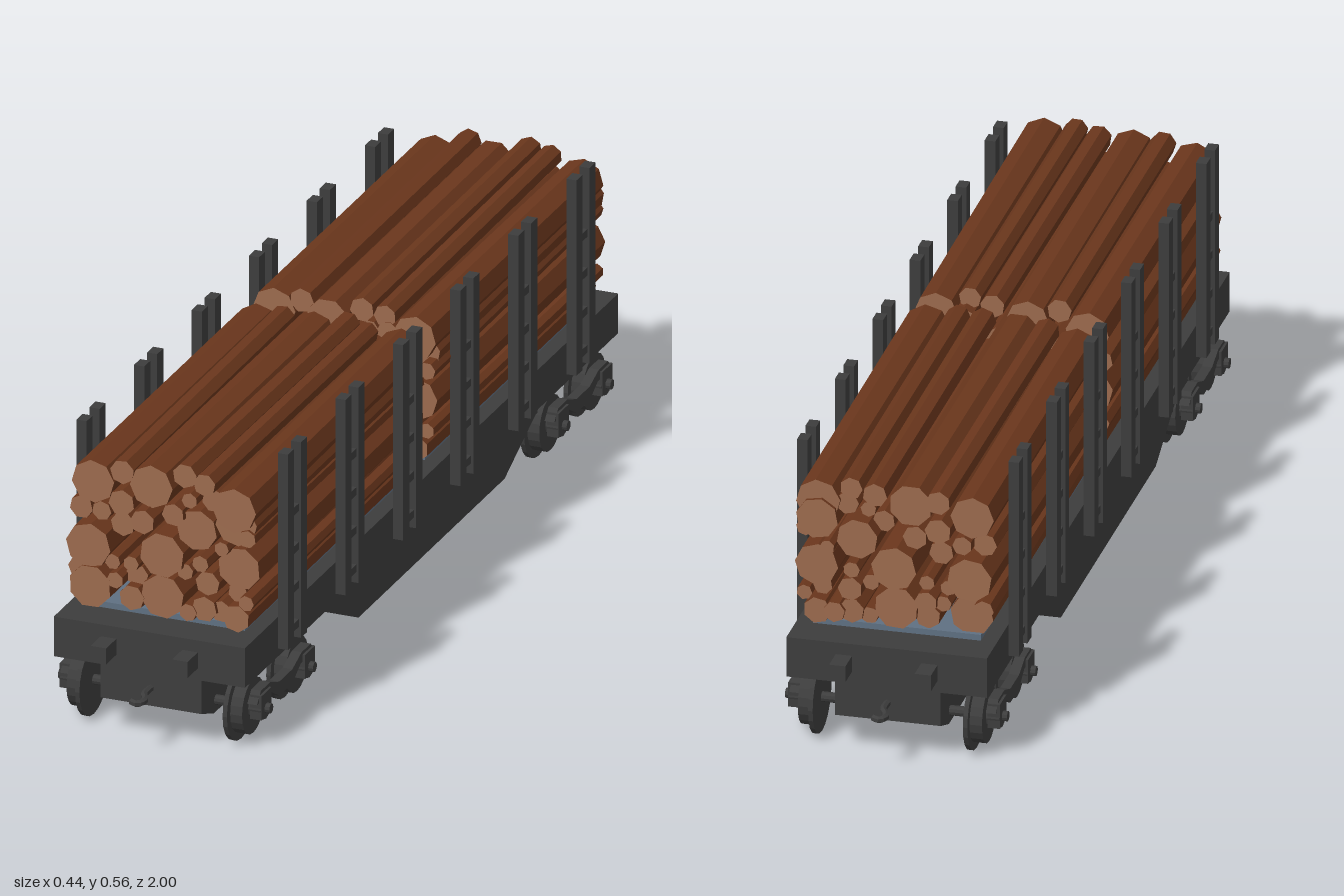
import * as THREE from 'three';

const mat = (name, color, flat = true) => {
  const m = new THREE.MeshStandardMaterial({ color, flatShading: flat });
  m.name = name;
  return m;
};

export function createModel() {
  const iron = mat('dark iron', 0x3d3d3d);
  const bark = mat('bark', 0x6a361c);
  const cut = mat('cut wood', 0x9c6b4e);
  const floor = mat('blue grey floor', 0x5f7082);
  const car = new THREE.Group();
  car.name = 'logWagon';

  let seed = 7;
  const rand = () => (seed = (seed * 16807) % 2147483647) / 2147483647;

  const add = (parent, name, geo, material, x = 0, y = 0, z = 0) => {
    const m = new THREE.Mesh(geo, material);
    m.name = name;
    m.position.set(x, y, z);
    parent.add(m);
    return m;
  };
  const box = (parent, name, w, h, d, x, y, z, material = iron) =>
    add(parent, name, new THREE.BoxGeometry(w, h, d), material, x, y, z);
  // Outline in (z, y), extruded across x and centred on it
  const side = (points, width) => {
    const shape = new THREE.Shape(points.map(p => new THREE.Vector2(...p)));
    const g = new THREE.ExtrudeGeometry(shape, { depth: width, bevelEnabled: false });
    return g.translate(0, 0, -width / 2).rotateY(-Math.PI / 2);
  };
  // Cylinder lying along x
  const disc = (parent, name, r, w, x, y, z, n = 16) =>
    add(parent, name, new THREE.CylinderGeometry(r, r, w, n).rotateZ(Math.PI / 2), iron, x, y, z);

  // Deck with deep-bellied side sills
  box(car, 'deck', 0.394, 0.082, 1.84, 0, 0.184, 0);
  const belly = [[-0.53, 0.145], [-0.36, 0.065], [0.36, 0.065], [0.53, 0.145]];
  for (const s of [-1, 1]) add(car, 'sideSill', side(belly, 0.03), iron, s * 0.182, 0, 0);

  // Paired stakes joined by short rungs
  for (const s of [-1, 1]) {
    for (const z of [-0.711, -0.424, -0.139, 0.143, 0.427, 0.711]) {
      const stake = new THREE.Group();
      stake.name = 'stakePair';
      stake.position.set(s * 0.2075, 0, z);
      for (const d of [-1, 1]) box(stake, 'stake', 0.021, 0.405, 0.03, 0, 0.3625, d * 0.032);
      for (const y of [0.19, 0.27, 0.35, 0.43]) box(stake, 'rung', 0.012, 0.016, 0.036, 0, y, 0);
      car.add(stake);
    }
  }

  // Log ends: x, y, radius
  const logs = [
    [-0.149, 0.482, 0.044], [-0.028, 0.491, 0.044], [0.153, 0.484, 0.045], [-0.088, 0.514, 0.025],
    [0.037, 0.518, 0.025], [0.088, 0.518, 0.023], [0.097, 0.482, 0.024], [0.154, 0.448, 0.043],
    [0.071, 0.423, 0.042], [-0.087, 0.45, 0.027], [-0.174, 0.425, 0.024], [-0.131, 0.423, 0.02],
    [-0.087, 0.402, 0.025], [-0.037, 0.427, 0.025], [0.027, 0.452, 0.023], [0.053, 0.479, 0.016],
    [-0.151, 0.359, 0.046], [0, 0.363, 0.046], [0.153, 0.354, 0.044], [0.18, 0.425, 0.018],
    [0.128, 0.4, 0.015], [-0.103, 0.33, 0.016], [-0.06, 0.335, 0.016], [-0.06, 0.302, 0.023],
    [0.081, 0.355, 0.017], [0.046, 0.33, 0.017], [0.088, 0.311, 0.025], [-0.176, 0.302, 0.021],
    [-0.144, 0.274, 0.044], [0, 0.275, 0.045], [-0.06, 0.261, 0.026], [0.088, 0.262, 0.026],
    [0.154, 0.256, 0.028], [0.149, 0.302, 0.02], [0.178, 0.295, 0.016], [0.053, 0.252, 0.018],
    [-0.092, 0.295, 0.017], [0.118, 0.258, 0.022]
  ];
  for (const s of [-1, 1]) {
    const pile = new THREE.Group();
    pile.name = s > 0 ? 'frontLogs' : 'rearLogs';
    pile.position.z = s * 0.443;
    car.add(pile);
    box(pile, 'floorPlate', 0.33, 0.012, 0.8, 0, 0.231, 0, floor);
    for (const [x, y, r] of logs) {
      const n = r > 0.03 ? 8 : 7;
      const g = new THREE.CylinderGeometry(r, r * 0.97, 0.8 + rand() * 0.04, n)
        .rotateY(rand() * 6).rotateX(Math.PI / 2);
      const log = add(pile, 'log', g, [bark, cut, cut], x, y, (rand() - 0.5) * 0.03);
      log.rotation.set((rand() - 0.5) * 0.008, (rand() - 0.5) * 0.008, 0);
    }
  }

  // Each end: centre frame, buffers, hook and a four-wheel truck
  for (const turn of [0, Math.PI]) {
    const end = new THREE.Group();
    end.name = turn ? 'rearEnd' : 'frontEnd';
    end.rotation.y = turn;
    car.add(end);
    const frame = [[0.49, 0.145], [0.56, 0.047], [0.85, 0.047], [0.912, 0.07], [0.912, 0.145]];
    add(end, 'centreFrame', side(frame, 0.208), iron);
    for (const s of [-1, 1]) box(end, 'buffer', 0.032, 0.033, 0.06, s * 0.084, 0.184, 0.94);

    // Coupling hook
    const path = new THREE.CatmullRomCurve3([
      [0, 0.9], [0, 0.945], [0.01, 0.965], [0.012, 0.98], [0.004, 0.993], [-0.009, 0.986]
    ].map(([x, z]) => new THREE.Vector3(x, 0.107, z)));
    add(end, 'couplingHook', new THREE.TubeGeometry(path, 16, 0.007, 6), iron);

    for (const z of [0.625, 0.84]) {
      disc(end, 'axle', 0.01, 0.436, 0, 0.072, z, 10);
      for (const s of [-1, 1]) {
        disc(end, 'wheelFlange', 0.072, 0.009, s * 0.152, 0.072, z, 20);
        disc(end, 'wheelTread', 0.056, 0.026, s * 0.168, 0.072, z, 20);
        disc(end, 'axleCap', 0.026, 0.028, s * 0.193, 0.075, z, 12);
        box(end, 'axleBox', 0.024, 0.05, 0.05, s * 0.196, 0.08, z);
      }
    }
    // Side frames arching between the axle boxes
    const beam = [[0.59, 0.09], [0.66, 0.09], [0.7, 0.066], [0.765, 0.066], [0.805, 0.09], [0.875, 0.09],
      [0.855, 0.112], [0.81, 0.112], [0.765, 0.095], [0.7, 0.095], [0.655, 0.112], [0.61, 0.112]];
    for (const s of [-1, 1]) {
      add(end, 'truckSideFrame', side(beam, 0.02), iron, s * 0.193, 0, 0);
    }
  }
  return car;
}
